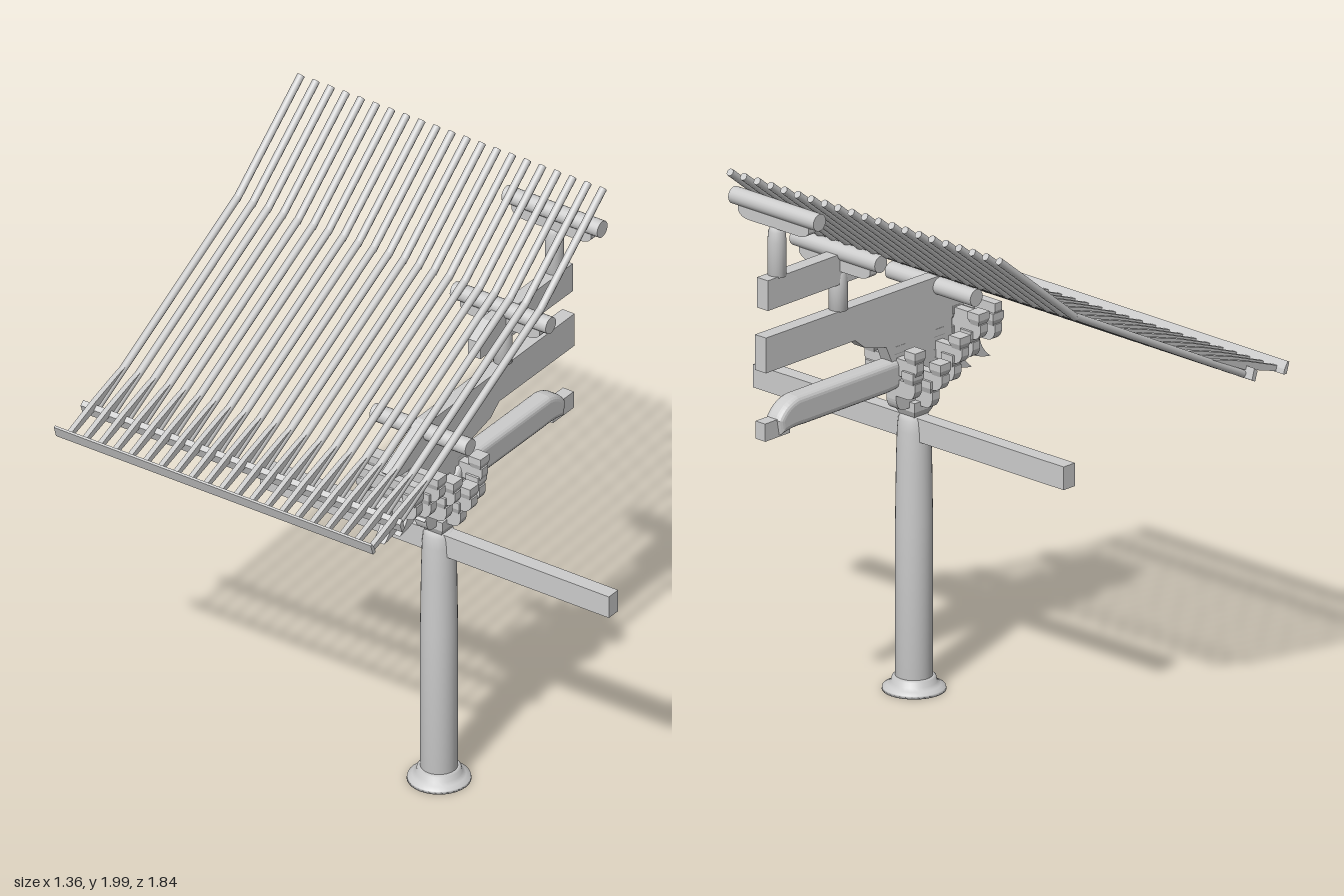
import * as THREE from 'three';

const CZ = 0.205; // depth of the bracket frame and column
const CX = -0.06; // column axis

export function createModel() {
  const root = new THREE.Group();
  const mat = new THREE.MeshStandardMaterial({ color: 0xcccccc, side: THREE.DoubleSide });

  const add = (name, geo, x = 0, y = 0, z = 0, parent = root) => {
    const m = new THREE.Mesh(geo, mat);
    m.name = name;
    m.position.set(x, y, z);
    parent.add(m);
    return m;
  };
  const group = (name) => {
    const g = new THREE.Group();
    g.name = name;
    root.add(g);
    return g;
  };
  const box = (name, x0, x1, y0, y1, z0, z1, parent = root) =>
    add(name, new THREE.BoxGeometry(x1 - x0, y1 - y0, z1 - z0), (x0 + x1) / 2, (y0 + y1) / 2, (z0 + z1) / 2, parent);
  const outline = (pts) => new THREE.Shape(pts.map(([x, y]) => new THREE.Vector2(x, y)));
  // Upright plate: an xy outline with a thickness centred on depth z
  const plate = (name, shape, width, z = CZ, parent = root) =>
    add(name, new THREE.ExtrudeGeometry(shape, { depth: width, bevelEnabled: false, curveSegments: 8 }), 0, 0, z - width / 2, parent);
  const lathe = (pts, seg = 32) => new THREE.LatheGeometry(pts.map(([r, y]) => new THREE.Vector2(r, y)), seg);
  // Round rod between two points of the xy plane
  const rod = (name, [ax, ay], [bx, by], r, z, parent) => {
    const m = add(name, new THREE.CylinderGeometry(r, r, Math.hypot(bx - ax, by - ay), 10), (ax + bx) / 2, (ay + by) / 2, z, parent);
    m.rotation.z = Math.atan2(by - ay, bx - ax) - Math.PI / 2;
  };

  // Column with rounded shoulder and its foot stone
  add('column', lathe([[0, 0.04], [0.063, 0.04], [0.063, 0.6], [0.06, 0.82], [0.057, 0.92], [0.053, 0.96], [0.045, 0.975], [0, 0.975]]), CX, 0, CZ);
  add('columnBase', lathe([[0, 0], [0.108, 0], [0.106, 0.01], [0.09, 0.018], [0.078, 0.028], [0.074, 0.045], [0.066, 0.05], [0, 0.05]]), CX, 0, CZ);
  box('tieBeam', CX - 0.027, CX + 0.027, 0.89, 0.972, -0.505, 0.915);

  // Block with a tapered foot, standing on y
  const block = (x, y, z, w, h, parent) => {
    const foot = new THREE.CylinderGeometry(w * 0.7071, w * 0.5, h * 0.45, 4, 1).rotateY(Math.PI / 4).toNonIndexed();
    foot.computeVertexNormals();
    add('blockFoot', foot, x, y + h * 0.225, z, parent);
    add('blockTop', new THREE.BoxGeometry(w, h * 0.55, w), x, y + h * 0.725, z, parent);
  };

  // Bracket arm running in z, with curved-up ends
  const arm = (name, x, y, half, h, w, parent) => {
    const s = new THREE.Shape();
    s.moveTo(-half, y + h);
    s.lineTo(-half, y + h * 0.55);
    s.quadraticCurveTo(-half * 0.93, y, -half * 0.68, y);
    s.lineTo(half * 0.68, y);
    s.quadraticCurveTo(half * 0.93, y, half, y + h * 0.55);
    s.lineTo(half, y + h);
    s.closePath();
    const g = new THREE.ExtrudeGeometry(s, { depth: w, bevelEnabled: false, curveSegments: 6 });
    g.translate(0, 0, -w / 2).rotateY(Math.PI / 2);
    add(name, g, x, 0, CZ, parent);
  };

  // Bracket set: x, y of arm, half length
  const brackets = group('bracketSet');
  block(CX, 0.97, CZ, 0.09, 0.06, brackets);
  [
    [CX, 1.015, 0.1], [CX, 1.085, 0.145],
    [-0.155, 1.085, 0.11], [-0.155, 1.155, 0.145],
    [-0.245, 1.145, 0.11], [-0.245, 1.215, 0.145],
    [-0.34, 1.185, 0.12],
    [0.035, 1.07, 0.11], [0.035, 1.145, 0.12],
  ].forEach(([x, y, half]) => {
    arm('crossArm', x, y, half, 0.06, 0.034, brackets);
    for (const s of [-1, 0, 1]) block(x, y + 0.055, CZ + s * (half - 0.026), 0.052, 0.045, brackets);
  });
  arm('eavesArm', -0.34, 1.26, 0.12, 0.06, 0.034, brackets);
  arm('eavesArm', -0.245, 1.265, 0.145, 0.045, 0.034, brackets);

  // Projecting arms in x, under the main beam
  const forward = new THREE.Shape();
  forward.moveTo(-0.165, 1.1);
  forward.lineTo(-0.165, 1.055);
  forward.quadraticCurveTo(-0.16, 1.01, -0.12, 1.01);
  forward.lineTo(0.005, 1.01);
  forward.quadraticCurveTo(0.045, 1.01, 0.05, 1.055);
  forward.lineTo(0.05, 1.1);
  plate('forwardArm', forward, 0.045, CZ, brackets);

  // Slanting beaks with hooked tips
  [[-0.405, 1.09], [-0.315, 1.075], [-0.175, 1.06]].forEach(([x, y], i) => {
    const s = new THREE.Shape();
    const k = i === 2 ? 0.5 : 1;
    s.moveTo(x, y);
    s.quadraticCurveTo(x + 0.055 * k, y + 0.04 * k, x + 0.055 * k, y + 0.1 * k);
    s.lineTo(x + 0.16 * k, y + 0.15 * k);
    s.lineTo(x + 0.17 * k, y + 0.08 * k);
    s.quadraticCurveTo(x + 0.09 * k, y + 0.01, x, y);
    plate('beak', s, 0.045, CZ, brackets);
  });
  plate('beamNose', outline([[-0.41, 1.225], [-0.385, 1.185], [-0.2, 1.17], [-0.2, 1.24], [-0.37, 1.24]]), 0.045, CZ, brackets);

  // Main beam with its stepped front part beneath the rafters
  plate('mainBeam', outline([
    [0.68, 1.445], [0.68, 1.32], [0.25, 1.32], [0.2, 1.28], [0.1, 1.255], [0.07, 1.19], [0, 1.19],
    [-0.02, 1.09], [-0.13, 1.09], [-0.21, 1.17], [-0.22, 1.31], [-0.34, 1.315], [-0.355, 1.33], [-0.15, 1.44],
  ]), 0.05);
  plate('upperBeam', outline([[0.67, 1.645], [0.67, 1.538], [0.142, 1.538], [0.142, 1.6], [0.215, 1.645]]), 0.05);

  // Crescent beam with bulging sides and a plain end tenon
  const moon = new THREE.Shape();
  moon.moveTo(-0.03, 1.13);
  moon.quadraticCurveTo(0, 1.195, 0.06, 1.195);
  moon.lineTo(0.53, 1.195);
  moon.quadraticCurveTo(0.59, 1.185, 0.62, 1.135);
  moon.lineTo(0.61, 1.085);
  moon.quadraticCurveTo(0.55, 1.1, 0.5, 1.095);
  moon.lineTo(0.1, 1.095);
  moon.quadraticCurveTo(0, 1.1, -0.03, 1.13);
  add('crescentBeam', new THREE.ExtrudeGeometry(moon, {
    depth: 0.03, bevelSize: 0.022, bevelOffset: -0.018, bevelThickness: 0.022, bevelSegments: 4, curveSegments: 8,
  }), 0, 0, CZ - 0.015);
  box('crescentBeamTenon', 0.56, 0.68, 1.077, 1.14, CZ - 0.022, CZ + 0.022);

  // Purlins, and the short posts and saddles carrying the upper two
  [[0.6, 1.875, 1.64], [0.305, 1.648, 1.44], [-0.155, 1.405, 0]].forEach(([x, y, foot]) => {
    add('purlin', new THREE.CylinderGeometry(0.03, 0.03, 0.39, 20).rotateX(Math.PI / 2), x, y, CZ);
    if (!foot) return;
    const top = y - 0.062;
    add('post', lathe([[0, foot], [0.032, foot], [0.032, top - 0.05], [0.029, top - 0.015], [0.022, top], [0, top]], 20), x, 0, CZ);
    arm('saddle', x, top - 0.002, 0.162, 0.042, 0.035, root);
  });

  // Roof: round rafters in two pitches, each with a flying rafter at the eaves
  const rafters = group('rafters');
  const flying = outline([[-0.665, 1.238], [-0.5, 1.288], [-0.35, 1.362], [-0.39, 1.352], [-0.52, 1.312], [-0.665, 1.258]]);
  for (let i = 0; i < 21; i++) {
    const z = 0.355 - i * 0.0615;
    rod('lowerRafter', [-0.51, 1.268], [0.305, 1.692], 0.0135, z, rafters);
    rod('upperRafter', [0.298, 1.685], [0.668, 1.984], 0.0135, z, rafters);
    plate('flyingRafter', flying, 0.018, z, rafters);
  }
  // Boards along the eaves
  plate('eavesBoard', outline([[-0.683, 1.276], [-0.67, 1.236], [-0.655, 1.238], [-0.66, 1.255], [-0.676, 1.28]]), 1.29, -0.275);
  plate('rafterBoard', outline([[-0.53, 1.284], [-0.518, 1.25], [-0.503, 1.258], [-0.515, 1.298]]), 1.3, -0.27);

  return root;
}
